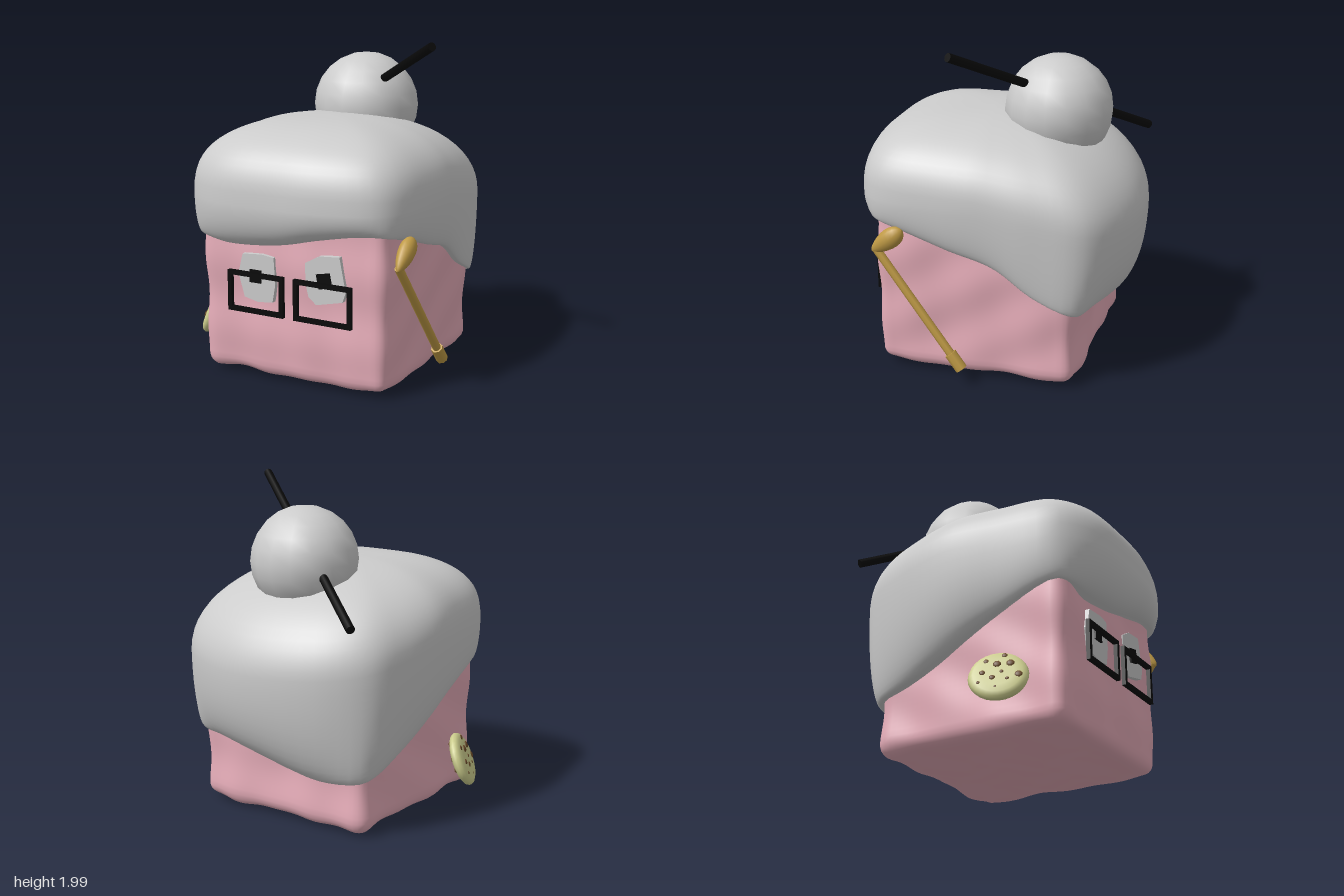
import * as THREE from 'three';
import { mergeVertices } from 'three/addons/utils/BufferGeometryUtils.js';

const mat = (color, extra = {}) => new THREE.MeshStandardMaterial({ color, ...extra });
const grey = mat(0xcccccc);
const greyThin = mat(0xcccccc, { side: THREE.DoubleSide });
const pink = mat(0xe6adb9);
const black = mat(0x080808);
const gold = mat(0xbf9a45);
const biscuit = mat(0xcdce8e);
const brown = mat(0x6a4a28);
const V = (x, y, z) => new THREE.Vector3(x, y, z);

function add(parent, name, geometry, material) {
  const mesh = new THREE.Mesh(geometry, material);
  mesh.name = name;
  parent.add(mesh);
  return mesh;
}

// Cylinder running between two points
function rod(parent, name, a, b, radius, sides, material) {
  const m = add(parent, name, new THREE.CylinderGeometry(radius, radius, a.distanceTo(b), sides), material);
  m.position.copy(a).add(b).multiplyScalar(0.5);
  m.quaternion.setFromUnitVectors(V(0, 1, 0), b.clone().sub(a).normalize());
  return m;
}

// Soft cube with rounded edges and gentle dents
function bodyGeometry() {
  const half = V(0.605, 0.54, 0.605), r = 0.08;
  let g = new THREE.BoxGeometry(half.x * 2, half.y * 2, half.z * 2, 36, 32, 36);
  g.deleteAttribute('uv');
  g.deleteAttribute('normal');
  g = mergeVertices(g, 1e-4);
  const p = g.attributes.position, v = V(0, 0, 0);
  const inner = half.clone().subScalar(r);
  for (let i = 0; i < p.count; i++) {
    v.fromBufferAttribute(p, i);
    const core = v.clone().clamp(inner.clone().negate(), inner);
    const n = v.sub(core).normalize();
    const bump = 0.006 * (Math.sin(core.x * 13 + core.y * 6) + Math.sin(core.y * 15 + core.z * 9 + 1)
      + Math.sin(core.z * 16 - core.x * 9) + Math.sin(core.x * 21 + core.z * 11) * 0.6);
    core.addScaledVector(n, r + bump);
    p.setXYZ(i, core.x, core.y, core.z);
  }
  g.computeVertexNormals();
  return g.translate(0.04, 0.575, 0.05);
}

// Hair: widest outline with a sloping hem, domed above and tucked in below
function hairGeometry() {
  // x, hem height, z around the head, front first
  const outline = new THREE.CatmullRomCurve3([
    [0, 0.87, 0.83], [0.3, 0.93, 0.81], [0.61, 0.98, 0.71], [0.71, 0.95, 0.57], [0.75, 0.84, 0.2],
    [0.74, 0.76, -0.1], [0.72, 0.6, -0.35], [0.66, 0.49, -0.61], [0.5, 0.47, -0.74], [0.1, 0.41, -0.84],
    [-0.38, 0.33, -0.76], [-0.63, 0.36, -0.58], [-0.71, 0.45, -0.33], [-0.74, 0.58, -0.02],
    [-0.69, 0.72, 0.3], [-0.61, 0.86, 0.66], [-0.4, 0.84, 0.8],
  ].map(q => V(...q)), true);
  const N = 80, UP = 16, DOWN = 12, rings = UP + DOWN + 2;
  const pos = [], idx = [];
  const top = V(0.02, 1.54, 0.08);
  const pts = outline.getPoints(N).slice(0, N);
  for (let j = 0; j < rings; j++) {
    for (let i = 0; i < N; i++) {
      const o = pts[i], hem = o.y;
      const wide = Math.max(1.03 + 0.07 * o.z / 0.8 + 0.09 * (1 - Math.abs(o.z) / 0.84), hem + 0.1);
      if (j <= UP) {
        // Fuller dome at the front, rounder at the back
        const t = (j / UP) * Math.PI / 2, n = 2.35 + 0.4 * o.z / 0.8;
        const s = Math.pow(Math.sin(t), 2 / n), h = Math.pow(Math.max(0, Math.cos(t)), 2 / n);
        pos.push(top.x + (o.x - top.x) * s, wide + (top.y - wide) * h, top.z + (o.z - top.z) * s);
      } else {
        // Hem follows the body's squared outline
        const dx = o.x - 0.04, dz = o.z - 0.05, d = Math.hypot(dx, dz), e = 12;
        const k = 0.61 / Math.pow(Math.abs(dx) ** e + Math.abs(dz) ** e, 1 / e);
        const last = j === rings - 1;
        const f = k + (last ? -0.08 : 0.03) / d;
        const t = Math.min(1, (j - UP) / DOWN) * Math.PI / 2;
        const c = last ? 0 : Math.cos(t);
        const rx = 0.04 + dx * f, rz = 0.05 + dz * f;
        pos.push(rx + (o.x - rx) * c, wide - (wide - hem) * Math.sin(t) + (last ? 0.02 : 0), rz + (o.z - rz) * c);
      }
    }
  }
  for (let j = 0; j < rings - 1; j++) {
    for (let i = 0; i < N; i++) {
      const a = j * N + i, b = j * N + (i + 1) % N;
      if (j > 0) idx.push(a, a + N, b);
      idx.push(b, a + N, b + N);
    }
  }
  const g = new THREE.BufferGeometry();
  g.setAttribute('position', new THREE.Float32BufferAttribute(pos, 3));
  g.setIndex(idx);
  g.computeVertexNormals();
  return g;
}

const polygon = pts => new THREE.Shape(pts.map(p => new THREE.Vector2(...p)));
const slab = (shape, depth) => new THREE.ExtrudeGeometry(shape, { depth, bevelEnabled: false });
const rect = (w, h) => [[-w, -h], [w, -h], [w, h], [-w, h]];

export function createModel() {
  const model = new THREE.Group();
  add(model, 'body', bodyGeometry(), pink);
  add(model, 'hair', hairGeometry(), greyThin);

  // Bun with a stick pushed through it
  add(model, 'bun', new THREE.SphereGeometry(0.322, 16, 12), grey).position.set(0.032, 1.55, -0.3);
  rod(model, 'hairStick', V(-0.6, 1.29, -0.72), V(0.68, 1.98, 0.16), 0.026, 12, black);

  // Eyes
  const eyes = [
    { pts: [[-0.26, 0.52], [-0.17, 0.5], [-0.07, 0.51], [-0.05, 0.62], [-0.06, 0.78], [-0.14, 0.79], [-0.27, 0.78], [-0.3, 0.66]],
      at: [-0.18, 0.655], size: 0.076, turn: 0 },
    { pts: [[0.22, 0.54], [0.39, 0.58], [0.41, 0.64], [0.37, 0.84], [0.24, 0.83], [0.15, 0.78], [0.15, 0.66], [0.17, 0.58]],
      at: [0.275, 0.69], size: 0.086, turn: 0.2 },
  ];
  for (const e of eyes) {
    add(model, 'eye', slab(polygon(e.pts), 0.04), grey).position.z = 0.636;
    const pupil = add(model, 'pupil', new THREE.BoxGeometry(e.size, e.size, 0.03), black);
    pupil.position.set(...e.at, 0.672);
    pupil.rotation.z = e.turn;
  }

  // Spectacle frames
  for (const x of [-0.165, 0.275]) {
    const shape = polygon(rect(0.186, 0.122));
    shape.holes.push(new THREE.Path(rect(0.16, 0.096).reverse().map(p => new THREE.Vector2(...p))));
    add(model, 'spectacleFrame', slab(shape, 0.025), black).position.set(x, 0.56, 0.69);
  }

  // Spoon leaning on the side
  const spoon = new THREE.Group();
  spoon.name = 'spoon';
  model.add(spoon);
  const start = V(0.707, 0.81, 0.615), end = V(0.745, 0.12, 0.085);
  rod(spoon, 'spoonHandle', start, end, 0.025, 8, gold);
  rod(spoon, 'spoonEnd', start.clone().lerp(end, 0.87), end, 0.036, 8, gold);
  const bowlGeo = new THREE.SphereGeometry(1, 16, 12);
  const bp = bowlGeo.attributes.position;
  for (let i = 0; i < bp.count; i++) { // narrower towards the handle
    const y = bp.getY(i), w = 0.85 + 0.25 * y;
    bp.setXYZ(i, bp.getX(i) * 0.055 * w, y * 0.12, bp.getZ(i) * 0.068 * w);
  }
  bowlGeo.computeVertexNormals();
  const bowl = add(spoon, 'spoonBowl', bowlGeo, gold);
  bowl.position.set(0.712, 0.868, 0.543);
  bowl.rotation.x = -0.9;

  // Cookie with chips on both faces
  const cookie = new THREE.Group();
  cookie.name = 'cookie';
  model.add(cookie);
  const half = [[0, 0.036], [0.09, 0.036], [0.135, 0.032], [0.158, 0.019], [0.167, 0]];
  const profile = [...half.map(([r, y]) => [r, -y]), ...half.slice(0, -1).reverse()];
  add(cookie, 'cookieDisc', new THREE.LatheGeometry(profile.map(p => new THREE.Vector2(...p)), 28), biscuit);
  for (const side of [-1, 1]) {
    for (let i = 0; i < 11; i++) {
      const a = i * 2.4 + side, r = 0.04 * Math.sqrt(i + 0.3);
      const chip = add(cookie, 'chip', new THREE.SphereGeometry(0.011 + 0.006 * (i % 3), 8, 6), brown);
      chip.scale.y = 0.4;
      chip.position.set(Math.cos(a) * r, side * (r > 0.1 ? 0.032 : 0.036), Math.sin(a) * r);
    }
  }
  cookie.position.set(-0.695, 0.29, 0.335);
  cookie.quaternion.setFromUnitVectors(V(0, 1, 0), V(-1, 0.43, 0.4).normalize());
  return model;
}
